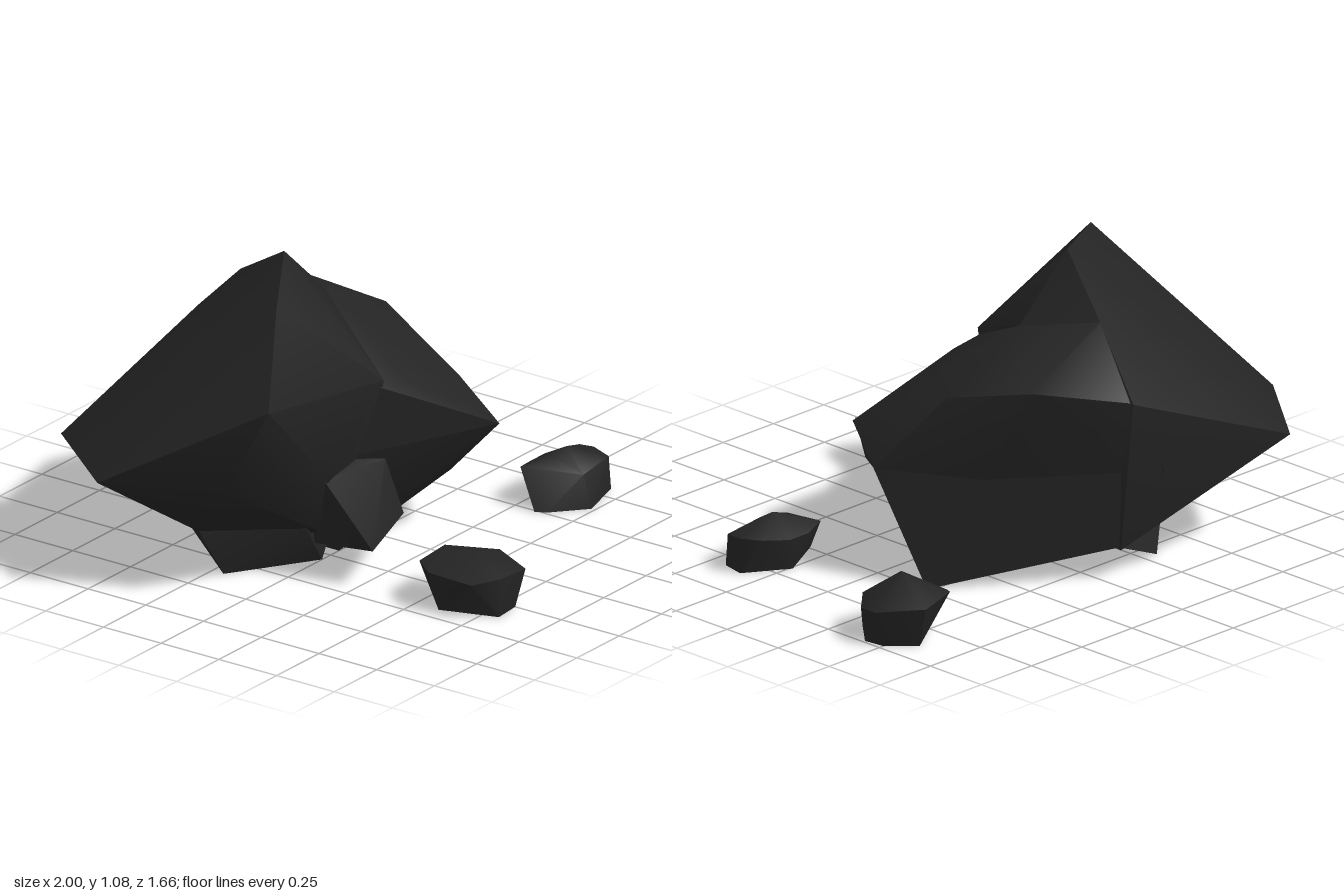
import * as THREE from 'three';
import { ConvexGeometry } from 'three/addons/geometries/ConvexGeometry.js';
import { toCreasedNormals } from 'three/addons/utils/BufferGeometryUtils.js';

const stone = new THREE.MeshStandardMaterial({ color: 0x242424 });
stone.name = 'dark stone';

// A faceted stone lump spanned by its corner points
function lump(name, points) {
  const hull = new ConvexGeometry(points.map((p) => new THREE.Vector3(...p)));
  const mesh = new THREE.Mesh(toCreasedNormals(hull, 0.8), stone);
  mesh.name = name;
  return mesh;
}

export function createModel() {
  const model = new THREE.Group();
  model.name = 'rocks';

  // Corners shared by the upper and lower shoulder
  const shoulderWaist = [
    [0.54, 0.41, -0.02], [0.27, 0.41, 0.35], [-0.3, 0.4, 0.08],
    [0.35, 0.41, -0.37], [-0.155, 0.41, -0.762],
  ];

  // Large boulder: tall main mass on a narrow foot, lower shoulder, small outcrop at the front
  const boulder = new THREE.Group();
  boulder.name = 'boulder';
  boulder.add(
    lump('mainMass', [
      // crown
      [-0.54, 1.03, -0.02], [-0.21, 1.08, -0.23], [-0.1, 0.91, -0.5], [0.03, 0.86, -0.23],
      [-0.02, 0.69, -0.74], [-0.78, 0.74, 0.12], [-0.18, 0.68, 0.18],
      // waist
      [-0.15, 0.42, -0.76], [-0.71, 0.41, -0.83], [-1, 0.41, -0.46], [-0.82, 0.41, -0.04],
      [-0.47, 0.4, 0.15],
      // underside
      [-0.65, 0.155, -0.28], [-0.05, 0.11, -0.65], [-0.35, 0.13, 0.05], [-0.1, 0.12, 0],
    ]),
    lump('mainFoot', [
      [-0.65, 0.16, -0.28], [-0.42, 0.16, 0.02], [-0.05, 0.12, -0.64], [-0.1, 0.2, -0.05],
      [-0.61, 0, -0.2], [-0.31, 0, -0.57], [-0.2, 0, -0.25], [-0.3, 0, 0],
    ]),
    lump('upperShoulder', [
      [0.03, 0.86, -0.23], [-0.1, 0.91, -0.5], [0.39, 0.69, -0.23], [0.29, 0.765, -0.55],
      [-0.03, 0.69, -0.735], [-0.05, 0.64, 0.17], [-0.2, 0.66, 0.17],
      ...shoulderWaist,
    ]),
    lump('lowerShoulder', [
      ...shoulderWaist,
      [0.2, 0.22, 0.19], [0.2, 0.2, -0.47], [-0.05, 0.12, -0.645], [0.49, 0, -0.23],
      [0.12, 0, -0.06], [-0.2, 0, 0], [-0.2, 0, -0.25],
    ]),
    lump('outcrop', [
      [-0.47, 0.39, 0.13], [-0.41, 0.14, 0.3], [-0.09, 0.155, 0.2], [-0.13, 0.36, 0.15],
      [-0.35, 0.08, 0], [-0.12, 0.08, 0], [-0.4, 0.4, 0.05], [-0.15, 0.4, 0.05],
    ]),
  );
  model.add(boulder);

  // Loose stones around it
  model.add(
    lump('frontPebble', [
      [-0.29, 0.195, 0.66],
      [-0.45, 0.14, 0.57], [-0.38, 0.14, 0.48], [-0.23, 0.15, 0.48], [-0.15, 0.15, 0.66],
      [-0.23, 0.145, 0.83], [-0.35, 0.14, 0.81], [-0.44, 0.13, 0.75],
      [-0.43, 0, 0.6], [-0.24, 0, 0.49], [-0.17, 0, 0.66], [-0.25, 0, 0.8], [-0.36, 0, 0.81],
    ]),
    lump('sidePebble', [
      [0.61, 0.165, 0.33], [0.68, 0.185, 0.34], [0.77, 0.16, 0.33],
      [0.53, 0.135, 0.25], [0.62, 0.12, 0.225], [0.71, 0.12, 0.225], [0.8, 0.13, 0.27],
      [0.84, 0.13, 0.34], [0.82, 0.12, 0.42], [0.63, 0.12, 0.45],
      [0.49, 0, 0.34], [0.51, 0, 0.38], [0.63, 0, 0.485], [0.82, 0, 0.43], [0.84, 0, 0.34], [0.68, 0, 0.24],
    ]),
    lump('backPebble', [
      [0.85, 0.235, -0.46],
      [0.64, 0.11, -0.48], [0.72, 0.15, -0.57], [0.9, 0.15, -0.63], [1, 0.125, -0.48],
      [0.99, 0.12, -0.4], [0.9, 0.13, -0.32], [0.78, 0.13, -0.33], [0.7, 0.13, -0.38],
      [0.7, 0, -0.45], [0.79, 0, -0.32], [0.9, 0, -0.32], [0.99, 0, -0.42], [0.98, 0, -0.5], [0.89, 0, -0.59],
    ]),
  );
  return model;
}
